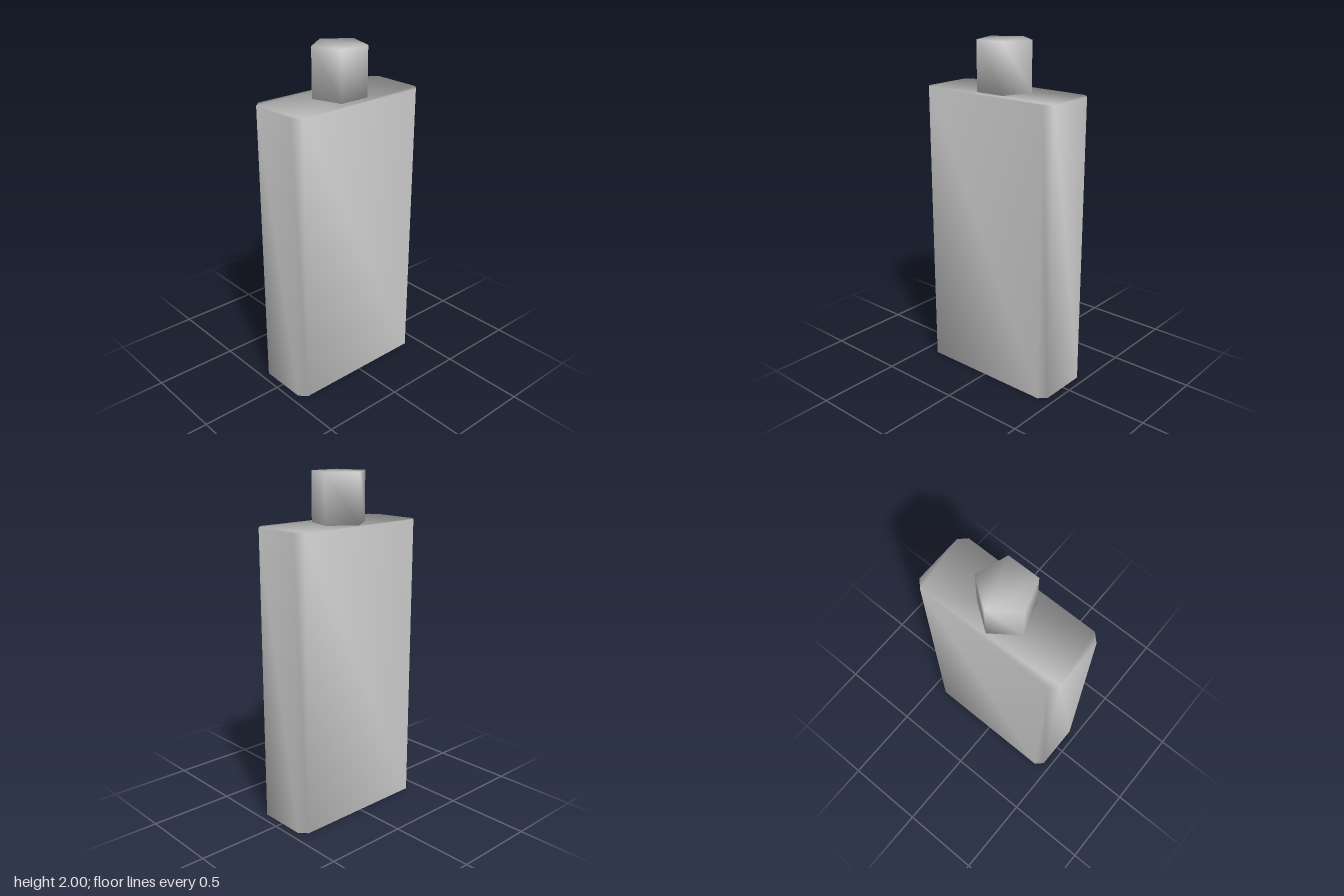
import * as THREE from 'three';
import { mergeVertices } from 'three/addons/utils/BufferGeometryUtils.js';

const material = new THREE.MeshStandardMaterial({ color: 0xcccccc });

// Upright prism from an outline of [x, -z] points, with normals shared across all edges
function softPrism(name, outline, bottom, top) {
  const shape = new THREE.Shape(outline.map(([x, y]) => new THREE.Vector2(x, y)));
  let geometry = new THREE.ExtrudeGeometry(shape, { depth: top - bottom, bevelEnabled: false });
  geometry.rotateX(-Math.PI / 2).translate(0, bottom, 0);
  geometry.deleteAttribute('normal');
  geometry.deleteAttribute('uv');
  geometry = mergeVertices(geometry);
  geometry.computeVertexNormals();
  const mesh = new THREE.Mesh(geometry, material);
  mesh.name = name;
  return mesh;
}

export function createModel() {
  const group = new THREE.Group();
  group.name = 'flatBottle';

  // Body: flat slab with chamfered upright corners
  const w = 0.453, d = 0.188, cut = 0.043;
  const body = [
    [w, -d + cut], [w, d - cut], [w - cut, d], [-w + cut, d],
    [-w, d - cut], [-w, -d + cut], [-w + cut, -d], [w - cut, -d],
  ];
  group.add(softPrism('bottleBody', body, 0, 1.715));

  // Cap: five-sided prism with one corner pointing to the back
  const cap = [];
  for (let i = 0; i < 5; i++) {
    const a = Math.PI / 2 + (i * 2 * Math.PI) / 5;
    cap.push([0.159 * Math.cos(a), 0.159 * Math.sin(a) + 0.002]);
  }
  group.add(softPrism('bottleCap', cap, 1.715, 2));

  return group;
}
